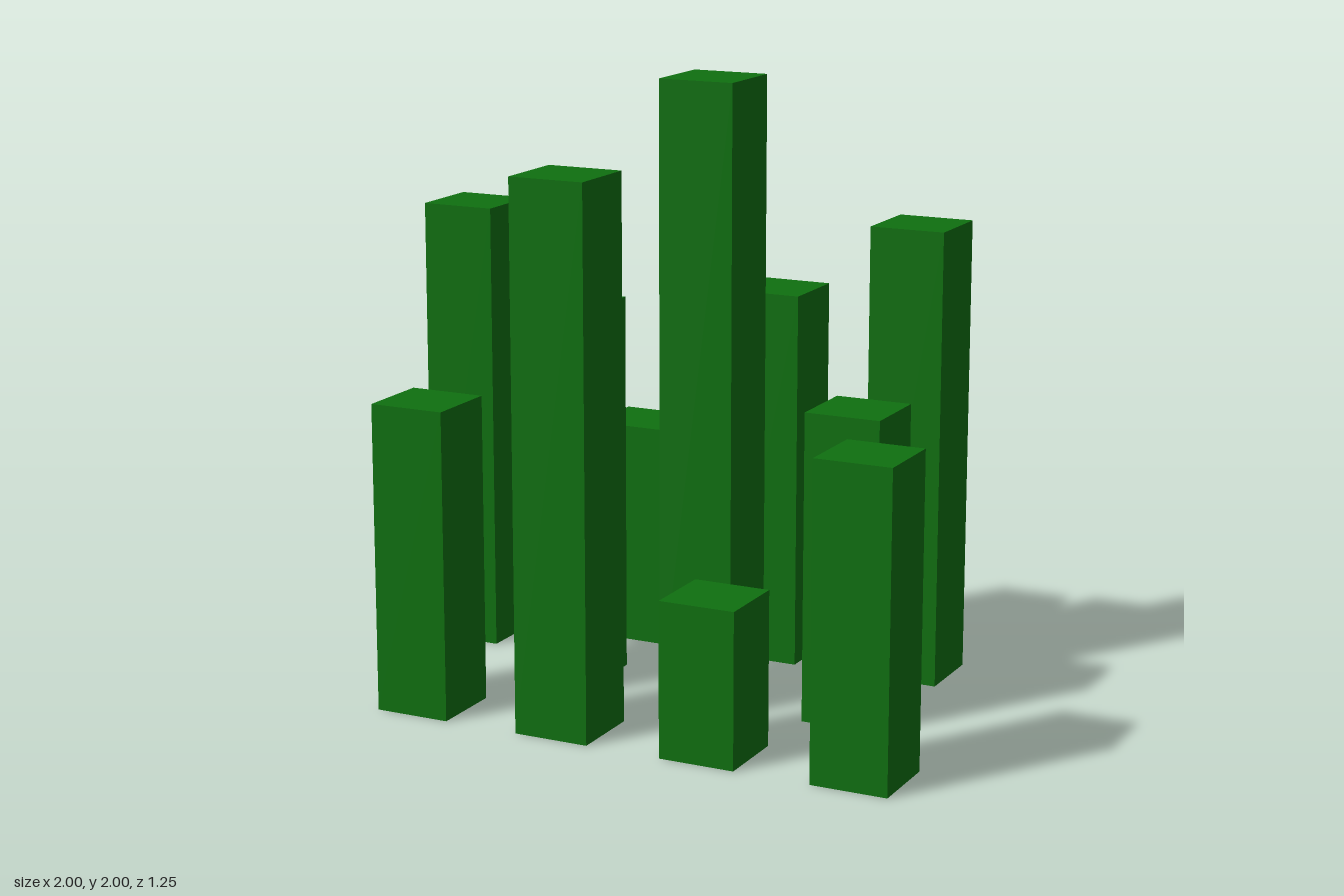
import * as THREE from 'three';

const WIDTH = 0.25;

// Each column: centre x, centre z, height
const COLUMNS = [
  // front row
  [-0.625, 0.5, 1], [-0.125, 0.5, 1.75], [0.375, 0.5, 0.5], [0.875, 0.5, 1],
  // middle row
  [-0.375, 0, 1.25], [0.125, 0, 2], [0.625, 0, 1],
  // back row
  [-0.375, -0.5, 0.75], [0.125, -0.5, 1.25], [0.625, -0.5, 1.5],
  // outlying column
  [-0.875, -0.25, 1.5],
];

export function createModel() {
  const group = new THREE.Group();
  group.name = 'columnCluster';
  const green = new THREE.MeshStandardMaterial({ color: 0x0f7010 });
  green.name = 'green';

  // Square columns standing on the ground
  COLUMNS.forEach(([x, z, height], i) => {
    const column = new THREE.Mesh(new THREE.BoxGeometry(WIDTH, height, WIDTH), green);
    column.name = `column${i + 1}`;
    column.position.set(x, height / 2, z);
    group.add(column);
  });
  return group;
}
